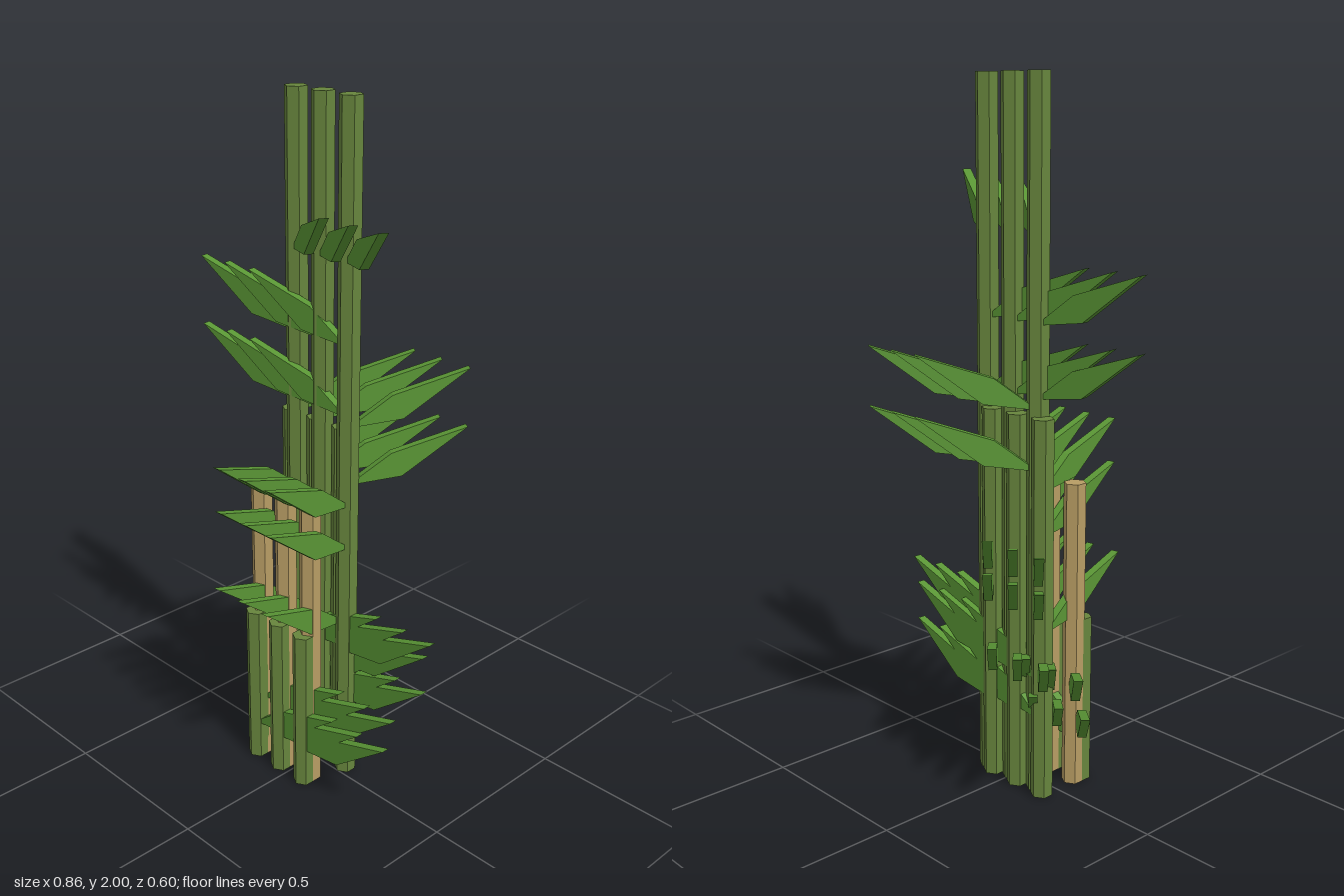
import * as THREE from 'three';

// Compass headings of the leaves as (x, z) directions
const DIR = {
  rightFront: [0.28, 0.172],
  left: [-0.33, 0.055],
  backRight: [0.197, -0.265],
  front: [0.032, 0.328],
  backLeft: [-0.24, -0.225],
  side: [0.33, 0],
};

// Each cane of one clump: position, height, and leaves as [heading, base height]
const CANES = [
  { name: 'tallCane', x: 0, z: -0.03, h: 2, leaves: [
    ['rightFront', 1.575], ['left', 1.345], ['left', 1.145],
    ['backRight', 1.115], ['backRight', 0.945], ['front', 0.88], ['front', 0.75],
    ['backLeft', 0.645], ['backLeft', 0.55], ['side', 0.415]] },
  { name: 'mediumCane', x: -0.04, z: -0.05, h: 1.1, leaves: [
    ['front', 0.49], ['backLeft', 0.36], ['side', 0.348], ['side', 0.232]] },
  { name: 'dryCane', x: -0.04, z: 0.075, h: 0.9, dry: true, leaves: [
    ['backLeft', 0.295], ['side', 0.195]] },
  { name: 'shortCane', x: -0.04, z: 0.103, h: 0.5, leaves: [
    ['backLeft', 0.175], ['side', 0.115]] },
];

export function createModel() {
  const flat = (name, color) => {
    const m = new THREE.MeshStandardMaterial({ color, flatShading: true });
    m.name = name;
    return m;
  };
  const green = flat('cane green', 0x67853d);
  const tan = flat('dry tan', 0xb89d64);
  const leafGreen = flat('leaf green', 0x5a9635);

  // Kite-shaped blade, rising outward along +x
  const blade = new THREE.Shape([
    [0, 0], [0.15, 0.02], [0.33, 0.157], [0.12, 0.09],
  ].map(([x, y]) => new THREE.Vector2(x, y)));
  const width = 0.025;
  const leafGeo = new THREE.ExtrudeGeometry(blade, { depth: width, bevelEnabled: false });
  leafGeo.translate(0, 0, -width / 2);

  const root = new THREE.Group();
  root.name = 'bamboo';

  // Three identical clumps side by side
  for (const offset of [-0.1, 0, 0.1]) {
    const clump = new THREE.Group();
    clump.name = 'clump';
    clump.position.x = offset;
    for (const c of CANES) {
      const cane = new THREE.Mesh(new THREE.CylinderGeometry(0.032, 0.032, c.h, 6), c.dry ? tan : green);
      cane.name = c.name;
      cane.position.set(c.x, c.h / 2, c.z);
      clump.add(cane);
      for (const [heading, y] of c.leaves) {
        const [dx, dz] = DIR[heading];
        const leaf = new THREE.Mesh(leafGeo, leafGreen);
        leaf.name = 'leaf';
        leaf.position.set(c.x, y, c.z);
        leaf.rotation.y = Math.atan2(-dz, dx);
        clump.add(leaf);
      }
    }
    root.add(clump);
  }
  return root;
}
